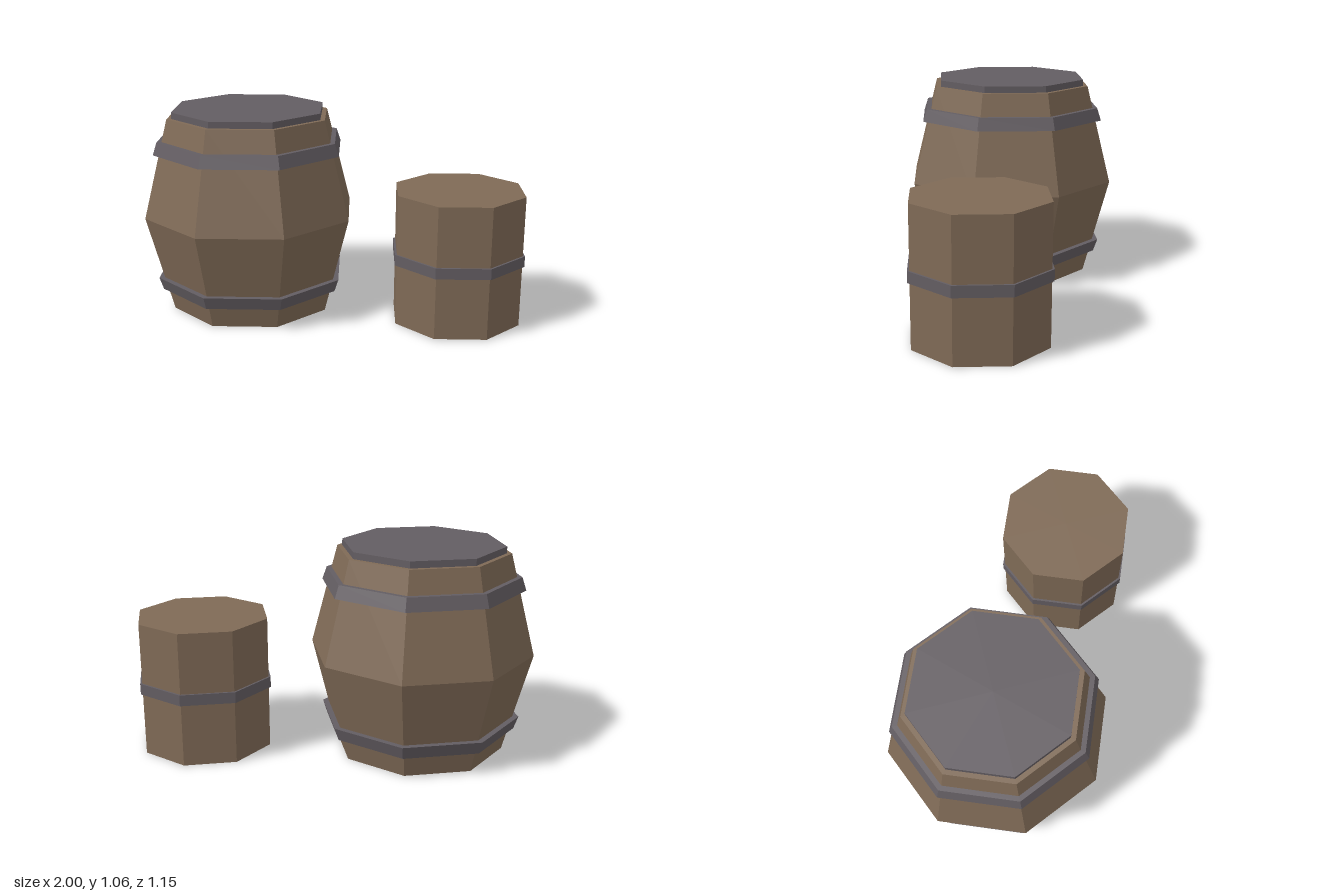
import * as THREE from 'three';

const SIDES = 8;

export function createModel() {
  const wood = new THREE.MeshStandardMaterial({ color: 0x7f6a56, flatShading: true });
  wood.name = 'wood';
  const metal = new THREE.MeshStandardMaterial({ color: 0x635d62, flatShading: true });
  metal.name = 'metal';

  // Eight-sided part turned from a [radius, height] profile, listed bottom to top
  const turned = (name, profile, material) => {
    const points = profile.map(([r, y]) => new THREE.Vector2(r, y));
    const mesh = new THREE.Mesh(new THREE.LatheGeometry(points, SIDES), material);
    mesh.name = name;
    return mesh;
  };

  // Metal hoop with a sloped outer face, set slightly into the staves
  const hoop = (name, y0, y1, r0, r1, inner) =>
    turned(name, [[inner, y0], [r0, y0], [r1, y1], [inner, y1]], metal);

  // Large bulging barrel
  const barrel = new THREE.Group();
  barrel.name = 'largeBarrel';
  barrel.position.set(-0.433, 0, 0.006);
  barrel.add(
    turned('barrelBody', [[0, 0], [0.433, 0], [0.567, 0.513], [0.433, 1.025], [0, 1.025]], wood),
    turned('barrelLid', [[0, 1.02], [0.408, 1.02], [0.408, 1.058], [0, 1.058]], metal),
    hoop('upperHoop', 0.845, 0.91, 0.511, 0.489, 0.45),
    hoop('lowerHoop', 0.116, 0.181, 0.489, 0.511, 0.45)
  );

  // Small straight keg
  const keg = new THREE.Group();
  keg.name = 'smallKeg';
  keg.position.set(0.647, 0, -0.221);
  keg.add(
    turned('kegBody', [[0, 0], [0.341, 0], [0.341, 0.683], [0, 0.683]], wood),
    hoop('kegHoop', 0.32, 0.376, 0.352, 0.352, 0.33)
  );

  const model = new THREE.Group();
  model.name = 'barrels';
  model.add(barrel, keg);
  return model;
}
